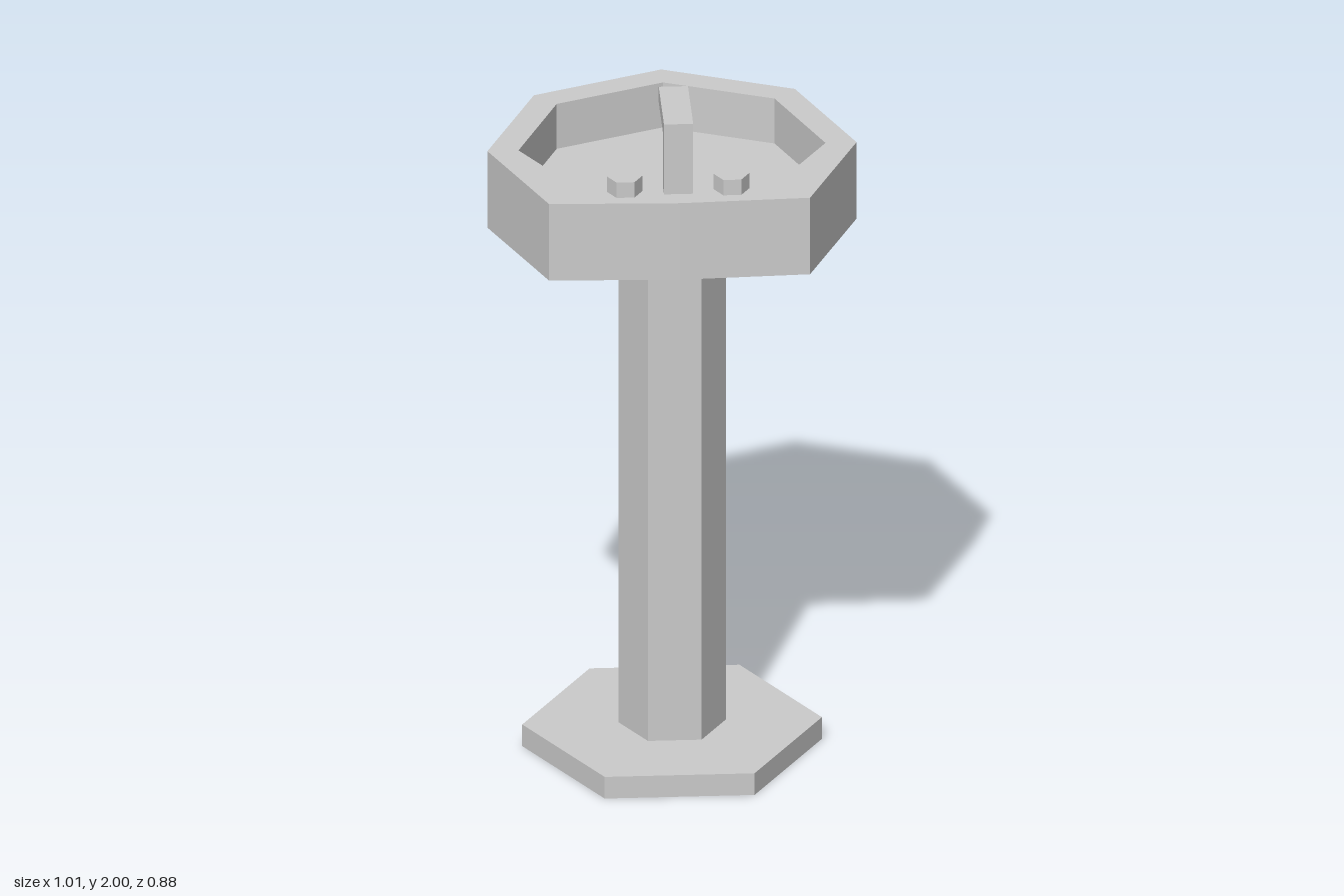
import * as THREE from 'three';
import { mergeGeometries } from 'three/addons/utils/BufferGeometryUtils.js';

const material = new THREE.MeshStandardMaterial({ color: 0xcccccc, flatShading: true });
const CENTER_Z = 0.068;

function addMesh(parent, name, geometry) {
  const mesh = new THREE.Mesh(geometry, material);
  mesh.name = name;
  parent.add(mesh);
  return mesh;
}

// Upright hexagonal prism with a flat side facing front
function hexPrism(radius, y0, y1, x, z) {
  return new THREE.CylinderGeometry(radius, radius, y1 - y0, 6, 1, false, Math.PI / 6)
    .translate(x, (y0 + y1) / 2, z);
}

// Complete a half outline of [x, z] points, front to back, by mirroring it
function mirrored(half) {
  const other = half.filter(([x]) => x > 0).reverse().map(([x, z]) => [-x, z]);
  return [...half, ...other];
}

// Horizontal polygon at height y; up = 1 faces upwards, -1 downwards
function flatFace(outline, y, up, hole) {
  const toPoints = (pts) => pts.map(([x, z]) => new THREE.Vector2(x, -up * z));
  const shape = new THREE.Shape(toPoints(outline));
  if (hole) shape.holes.push(new THREE.Path(toPoints(hole)));
  return new THREE.ShapeGeometry(shape).rotateX(-up * Math.PI / 2).translate(0, y, 0).toNonIndexed();
}

// Vertical wall around an outline; reversed outlines face inwards
function wall(outline, y0, y1) {
  const position = [], uv = [];
  outline.forEach(([ax, az], i) => {
    const [bx, bz] = outline[(i + 1) % outline.length];
    position.push(ax, y0, az, bx, y0, bz, bx, y1, bz);
    position.push(ax, y0, az, bx, y1, bz, ax, y1, az);
    uv.push(0, 0, 1, 0, 1, 1, 0, 0, 1, 1, 0, 1);
  });
  const geometry = new THREE.BufferGeometry();
  geometry.setAttribute('position', new THREE.Float32BufferAttribute(position, 3));
  geometry.setAttribute('uv', new THREE.Float32BufferAttribute(uv, 2));
  geometry.computeVertexNormals();
  return geometry;
}

export function createModel() {
  const sink = new THREE.Group();
  sink.name = 'pedestalSink';

  // Foot and column
  addMesh(sink, 'base', hexPrism(0.41, 0, 0.065, 0, CENTER_Z));
  addMesh(sink, 'pedestal', hexPrism(0.147, 0.065, 1.51, 0, CENTER_Z));

  // Basin: outer wall, rim, recessed bowl and underside
  const outer = mirrored([[0, 0.435], [0.357, 0.42], [0.505, 0.065], [0.357, -0.292], [0, -0.44]]);
  const inner = mirrored([[0.298, 0.275], [0.42, 0.065], [0.298, -0.232], [0, -0.355]]);
  const bottom = 1.56, floor = 1.655, top = 1.79;
  addMesh(sink, 'basin', mergeGeometries([
    wall(outer, bottom, top),
    flatFace(outer, top, 1, inner),
    wall([...inner].reverse(), floor, top),
    flatFace(inner, floor, 1),
    flatFace(outer, bottom, -1),
  ]));

  // Faucet: L-shaped side profile, as [z, y], reaching over the bowl
  const profile = [[0.375, top], [0.375, 2], [0.128, 2], [0.128, 1.953], [0.335, 1.953], [0.335, top]];
  const faucet = new THREE.ExtrudeGeometry(
    new THREE.Shape(profile.map(([z, y]) => new THREE.Vector2(z, y))),
    { depth: 0.08, bevelEnabled: false },
  );
  addMesh(sink, 'faucet', faucet.rotateY(-Math.PI / 2).translate(0.04, 0, 0));

  // Tap knobs
  for (const side of [-1, 1]) {
    addMesh(sink, side > 0 ? 'leftKnob' : 'rightKnob', hexPrism(0.049, top, 1.836, side * 0.146, 0.348));
  }

  return sink;
}
